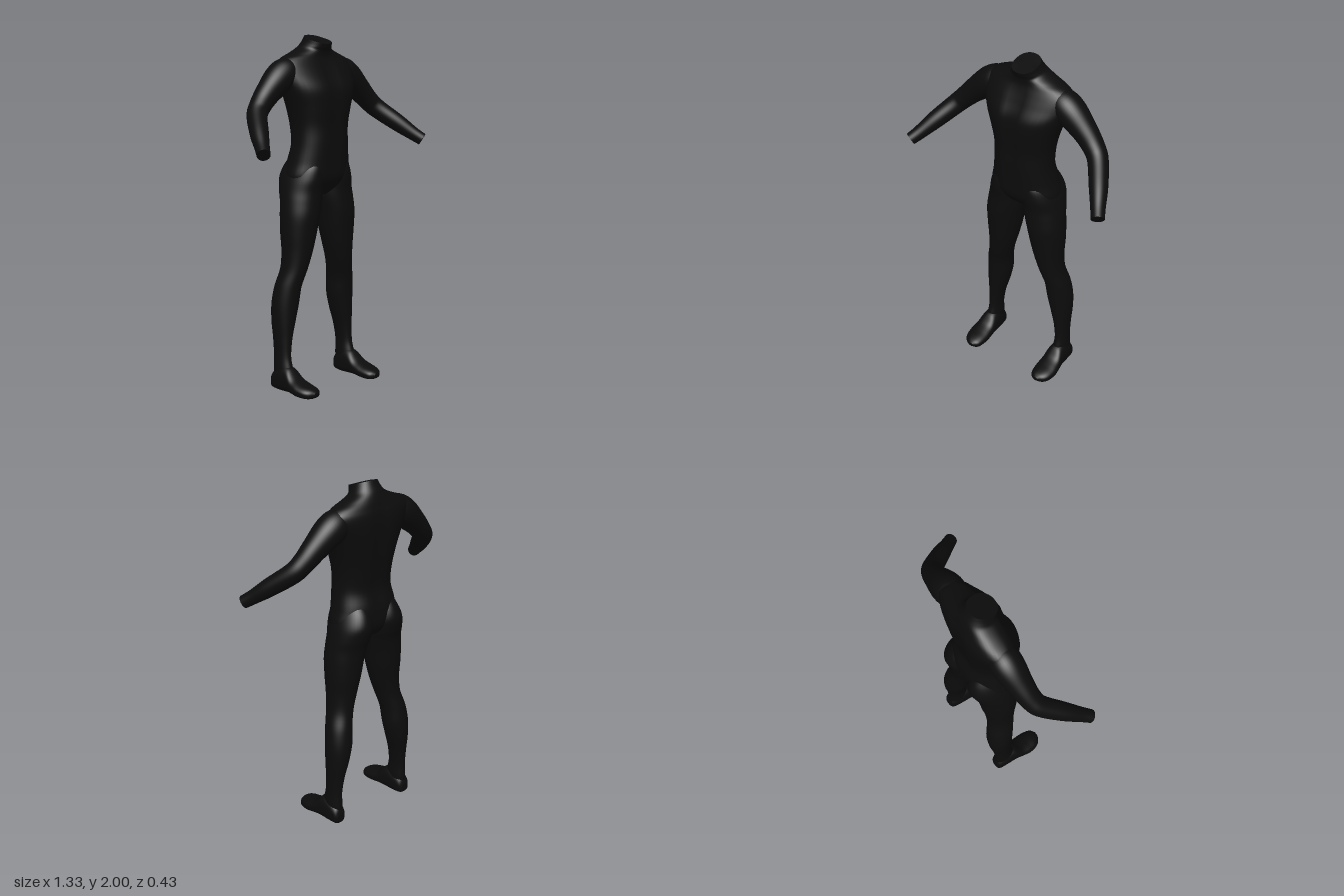
import * as THREE from 'three';

const suit = new THREE.MeshStandardMaterial({ color: 0x0c0c0c });
suit.name = 'black suit';

const SIDES = 40;
const spow = (v, p) => Math.sign(v) * Math.pow(Math.abs(v), p);

// Smooth interpolation of every column of the section rows
function sample(rows, t) {
  const n = rows.length - 1;
  const i = Math.min(Math.floor(t * n), n - 1);
  const f = t * n - i;
  const [a, b, c, d] = [rows[Math.max(i - 1, 0)], rows[i], rows[i + 1], rows[Math.min(i + 2, n)]];
  return b.map((_, k) => {
    const m0 = (c[k] - a[k]) / 2, m1 = (d[k] - b[k]) / 2;
    return b[k] + f * (m0 + f * (3 * (c[k] - b[k]) - 2 * m0 - m1 + f * (2 * (b[k] - c[k]) + m0 + m1)));
  });
}

// Closed skin through cross-sections; place(row, cos, sin, t) returns a point
function loft(name, rows, place, mirror = 1) {
  const steps = (rows.length - 1) * 5;
  const pos = [], idx = [];
  const ring = (t) => {
    const start = pos.length / 3, row = sample(rows, t);
    for (let j = 0; j < SIDES; j++) {
      const a = (j / SIDES) * Math.PI * 2;
      const p = place(row, Math.cos(a), Math.sin(a), t);
      pos.push(p.x * mirror, p.y, p.z);
    }
    return start;
  };
  for (let i = 0; i <= steps; i++) ring(i / steps);
  for (let i = 0; i < steps; i++) {
    for (let j = 0; j < SIDES; j++) {
      const k = (j + 1) % SIDES;
      const a = i * SIDES + j, b = i * SIDES + k, c = a + SIDES, d = b + SIDES;
      idx.push(a, c, b, b, c, d);
    }
  }
  // Flat end caps with their own vertices
  for (const t of [0, 1]) {
    const s = ring(t), mid = new THREE.Vector3();
    for (let j = 0; j < SIDES; j++) mid.add(new THREE.Vector3().fromArray(pos, (s + j) * 3));
    mid.divideScalar(SIDES);
    const m = pos.length / 3;
    pos.push(mid.x, mid.y, mid.z);
    for (let j = 0; j < SIDES; j++) {
      const a = s + j, b = s + ((j + 1) % SIDES);
      if (t === 0) idx.push(m, a, b);
      else idx.push(m, b, a);
    }
  }
  // Turn the faces outwards if the enclosed volume is negative
  let volume = 0;
  const [p, q, r] = [new THREE.Vector3(), new THREE.Vector3(), new THREE.Vector3()];
  for (let i = 0; i < idx.length; i += 3) {
    p.fromArray(pos, idx[i] * 3);
    q.fromArray(pos, idx[i + 1] * 3);
    r.fromArray(pos, idx[i + 2] * 3);
    volume += p.dot(q.cross(r));
  }
  if (volume < 0) idx.reverse();
  const g = new THREE.BufferGeometry();
  g.setAttribute('position', new THREE.Float32BufferAttribute(pos, 3));
  g.setIndex(idx);
  g.computeVertexNormals();
  const mesh = new THREE.Mesh(g, suit);
  mesh.name = name;
  return mesh;
}

// Torso: y, half width, front z, back z, neck tilt, centre groove
const torsoRows = [
  [1.11, 0.07, -0.01, -0.12, 0, 0],
  [1.15, 0.17, 0.035, -0.17, 0, 0],
  [1.21, 0.213, 0.07, -0.195, 0, 0],
  [1.30, 0.195, 0.08, -0.195, 0, 0.008],
  [1.40, 0.178, 0.085, -0.172, 0, 0.008],
  [1.50, 0.18, 0.085, -0.182, 0, 0.01],
  [1.60, 0.202, 0.093, -0.197, 0, 0.012],
  [1.70, 0.238, 0.09, -0.208, 0, 0.015],
  [1.78, 0.268, 0.05, -0.21, 0, 0.014],
  [1.835, 0.272, 0.02, -0.203, 0, 0.01],
  [1.872, 0.235, 0.002, -0.19, 0, 0.004],
  [1.90, 0.165, -0.002, -0.178, 0.006, 0],
  [1.927, 0.103, 0.002, -0.165, 0.014, 0],
  [1.95, 0.083, 0.012, -0.148, 0.021, 0],
  [1.975, 0.073, 0.02, -0.132, 0.025, 0],
];
const torsoPoint = ([y, w, zf, zb, tilt, groove], c, s) => {
  const x = w * spow(c, 0.9);
  const z = (zf + zb) / 2 + ((zf - zb) / 2) * spow(s, 0.9);
  const dip = groove * Math.exp(-((x / 0.035) ** 2)) * Math.sign(s);
  return new THREE.Vector3(x, y - tilt * s, z - dip);
};

// Leg: y, inner x, outer x, front z, back z
const legRows = [
  [1.34, 0.05, 0.15, 0.02, -0.15],
  [1.28, 0.015, 0.188, 0.06, -0.198],
  [1.21, 0.002, 0.217, 0.066, -0.221],
  [1.14, 0.0, 0.234, 0.056, -0.207],
  [1.08, 0.01, 0.244, 0.055, -0.186],
  [1.00, 0.03, 0.253, 0.055, -0.175],
  [0.90, 0.05, 0.254, 0.043, -0.165],
  [0.80, 0.076, 0.25, 0.03, -0.152],
  [0.70, 0.108, 0.256, 0.014, -0.15],
  [0.60, 0.135, 0.283, -0.008, -0.169],
  [0.50, 0.145, 0.297, -0.02, -0.18],
  [0.40, 0.17, 0.297, -0.028, -0.175],
  [0.30, 0.199, 0.291, -0.034, -0.16],
  [0.20, 0.214, 0.289, -0.033, -0.15],
  [0.12, 0.211, 0.294, -0.015, -0.152],
  [0.05, 0.21, 0.297, -0.02, -0.148],
];
const legPoint = ([y, x0, x1, zf, zb], c, s) => new THREE.Vector3(
  (x0 + x1) / 2 + ((x1 - x0) / 2) * c, y, (zf + zb) / 2 + ((zf - zb) / 2) * s);

// Foot: z, inner x, outer x, sole y, top y
const footRows = [
  [-0.157, 0.235, 0.28, 0.022, 0.07],
  [-0.14, 0.215, 0.297, 0.008, 0.11],
  [-0.08, 0.203, 0.305, 0.004, 0.15],
  [-0.02, 0.198, 0.31, 0.007, 0.145],
  [0.03, 0.193, 0.319, 0.01, 0.1],
  [0.08, 0.19, 0.325, 0.006, 0.08],
  [0.13, 0.195, 0.316, 0.004, 0.068],
  [0.16, 0.207, 0.296, 0.008, 0.057],
  [0.178, 0.232, 0.266, 0.02, 0.043],
];
const footPoint = ([z, x0, x1, y0, y1], c, s) => new THREE.Vector3(
  (x0 + x1) / 2 + ((x1 - x0) / 2) * spow(c, 0.85),
  (y0 + y1) / 2 + ((y1 - y0) / 2) * spow(s, s < 0 ? 0.6 : 1), z);

// Arm: centre x, y, z and radius, swept square to its own path
const armRows = [
  [0.14, 1.81, -0.09, 0.05],
  [0.205, 1.80, -0.09, 0.08],
  [0.268, 1.763, -0.088, 0.085],
  [0.36, 1.688, -0.08, 0.069],
  [0.425, 1.625, -0.068, 0.06],
  [0.475, 1.573, -0.04, 0.056],
  [0.55, 1.488, 0.06, 0.05],
  [0.60, 1.427, 0.135, 0.04],
  [0.632, 1.392, 0.182, 0.036],
];
const armPoint = ([x, y, z, r], c, s, t) => {
  const at = (k) => new THREE.Vector3().fromArray(sample(armRows, THREE.MathUtils.clamp(k, 0, 1)));
  const dir = at(t + 0.03).sub(at(t - 0.03)).normalize();
  const u = new THREE.Vector3(0.7, 0.7, 0).cross(dir).normalize();
  const v = dir.clone().cross(u);
  return new THREE.Vector3(x, y, z).addScaledVector(u, r * c).addScaledVector(v, r * s);
};

export function createModel() {
  const model = new THREE.Group();
  model.name = 'bodysuit';
  model.add(loft('torso', torsoRows, torsoPoint));
  for (const [side, m] of [['left', 1], ['right', -1]]) {
    model.add(
      loft(side + 'Arm', armRows, armPoint, m),
      loft(side + 'Leg', legRows, legPoint, m),
      loft(side + 'Foot', footRows, footPoint, m),
    );
  }
  return model;
}
